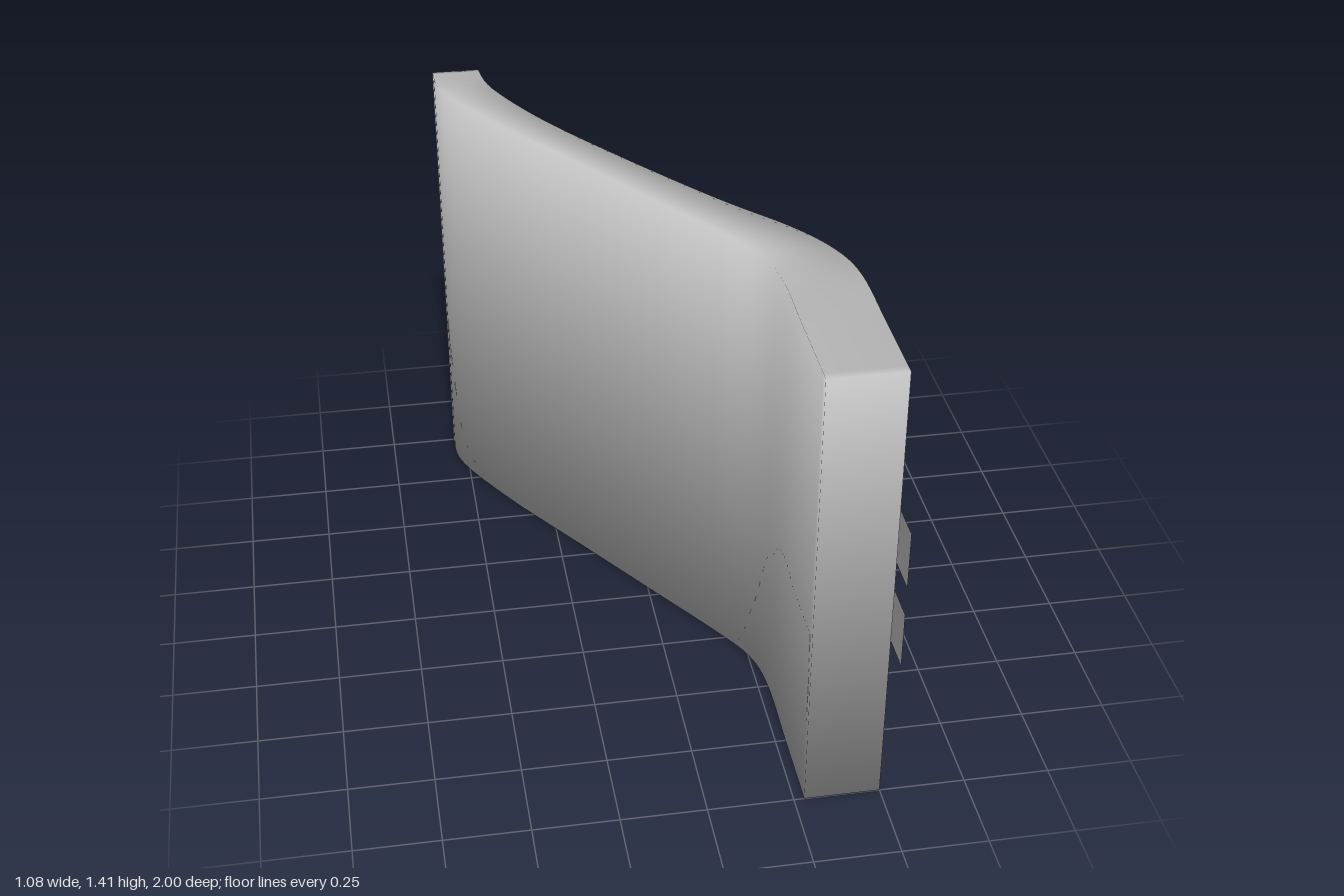
import * as THREE from 'three';

const HEIGHT = 1.41;
const STEPS = 54;

// plan outline of the panel: [z, x of the -x face, x of the +x face]
const PLAN = [
  [-1, -0.54, -0.393], [-0.85, -0.52, -0.363], [-0.6, -0.38, -0.235], [-0.3, -0.176, -0.03],
  [0, 0.028, 0.196], [0.2, 0.164, 0.368], [0.35, 0.252, 0.46], [0.5, 0.28, 0.498],
  [0.75, 0.28, 0.5], [1, 0.28, 0.5],
];
const rail = (k) => new THREE.SplineCurve(PLAN.map((p) => new THREE.Vector2(p[k], p[0])));
const innerRail = rail(1);
const outerRail = rail(2);

// point on a rail and its horizontal normal towards +x
function sample(curve, t) {
  const p = curve.getPoint(t);
  const d = curve.getTangent(t);
  return { x: p.x, z: p.y, n: new THREE.Vector3(d.y, 0, -d.x) };
}

// box swept along the two rails, with normals softened over its edges
function panelGeometry() {
  const geo = new THREE.BoxGeometry(2, 2, 2, 1, 1, STEPS);
  const pos = geo.attributes.position;
  for (let i = 0; i < pos.count; i++) {
    const side = Math.sign(pos.getX(i));
    const up = Math.sign(pos.getY(i));
    const t = (pos.getZ(i) + 1) / 2;
    const s = sample(side > 0 ? outerRail : innerRail, THREE.MathUtils.clamp(t, 0, 1));
    const n = s.n.multiplyScalar(side);
    n.y += up;
    if (t < 0.001) n.z -= 1;
    if (t > 0.999) n.z += 1;
    n.normalize();
    pos.setXYZ(i, s.x, up > 0 ? HEIGHT : 0, s.z);
    geo.attributes.normal.setXYZ(i, n.x, n.y, n.z);
  }
  return geo;
}

// thin sheet that follows the +x face at a small gap
function strapGeometry(y0, y1, gap) {
  const geo = new THREE.PlaneGeometry(2, 2, STEPS, 1);
  const pos = geo.attributes.position;
  for (let i = 0; i < pos.count; i++) {
    const s = sample(outerRail, THREE.MathUtils.clamp((1 - pos.getX(i)) / 2, 0, 1));
    pos.setXYZ(i, s.x + gap / s.n.x, pos.getY(i) > 0 ? y1 : y0, s.z);
  }
  geo.computeVertexNormals();
  return geo;
}

export function createModel() {
  const group = new THREE.Group();
  group.name = 'curvedPanel';

  const panel = new THREE.Mesh(panelGeometry(), new THREE.MeshStandardMaterial({ color: 0xcccccc }));
  panel.name = 'panel';
  group.add(panel);

  // two horizontal straps
  const strapMaterial = new THREE.MeshStandardMaterial({ color: 0xcccccc, side: THREE.DoubleSide });
  [['lowerStrap', 0.45, 0.63], ['upperStrap', 0.72, 0.9]].forEach(([name, y0, y1]) => {
    const strap = new THREE.Mesh(strapGeometry(y0, y1, 0.035), strapMaterial);
    strap.name = name;
    group.add(strap);
  });

  return group;
}
